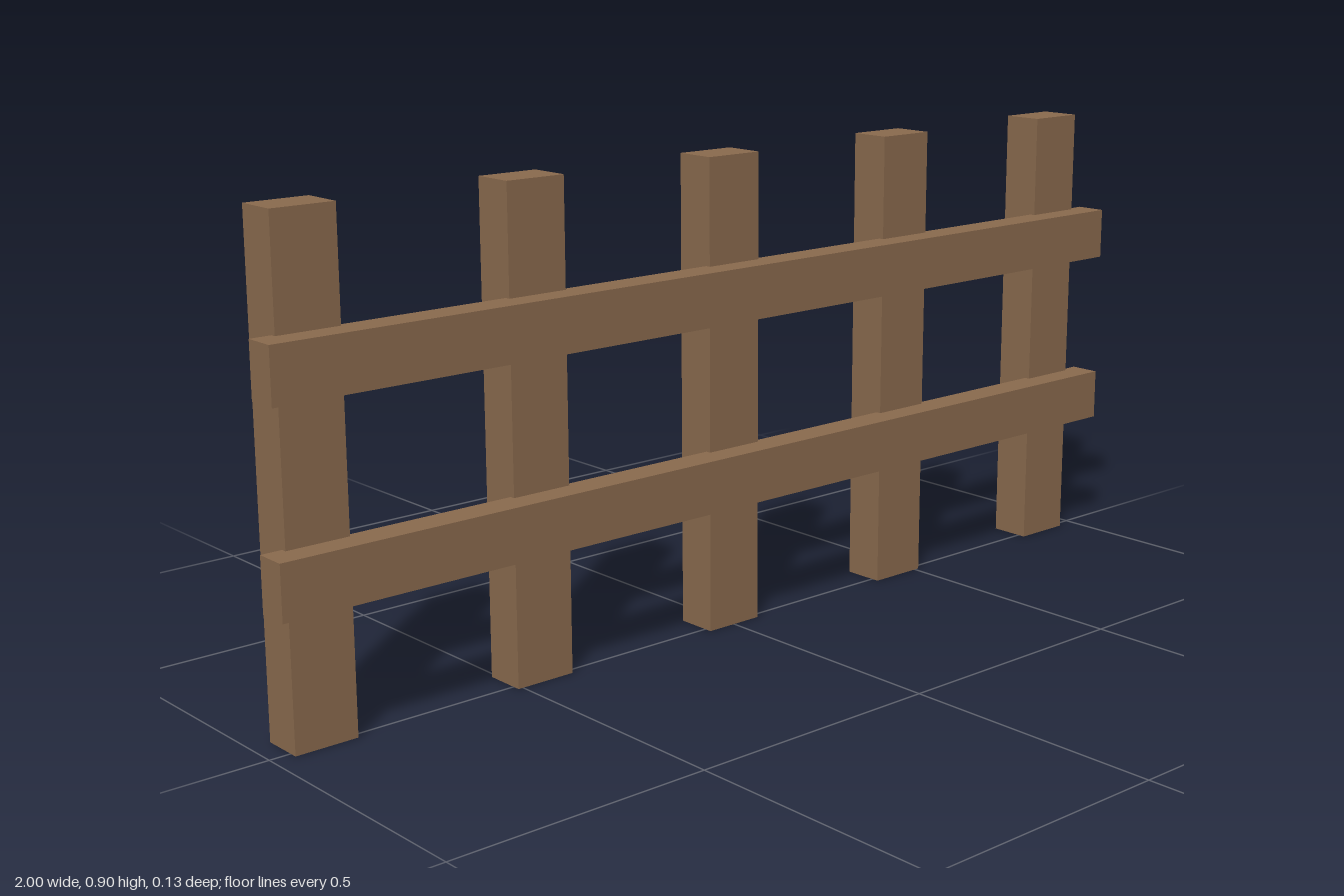
import * as THREE from 'three';

export function createModel() {
  const fence = new THREE.Group();
  fence.name = 'fence';

  const wood = new THREE.MeshStandardMaterial({ color: 0x8b6b4e });
  wood.name = 'brown wood';

  function addBeam(name, size, position) {
    const beam = new THREE.Mesh(new THREE.BoxGeometry(...size), wood);
    beam.name = name;
    beam.position.set(...position);
    fence.add(beam);
  }

  // Five evenly spaced upright posts
  for (let i = 0; i < 5; i++) {
    addBeam(`post${i + 1}`, [0.12, 0.9, 0.08], [-0.9 + i * 0.45, 0.45, -0.025]);
  }

  // Two rails, let slightly into the front of the posts
  addBeam('lowerRail', [2, 0.1, 0.06], [0, 0.3, 0.035]);
  addBeam('upperRail', [2, 0.1, 0.06], [0, 0.65, 0.035]);

  return fence;
}
